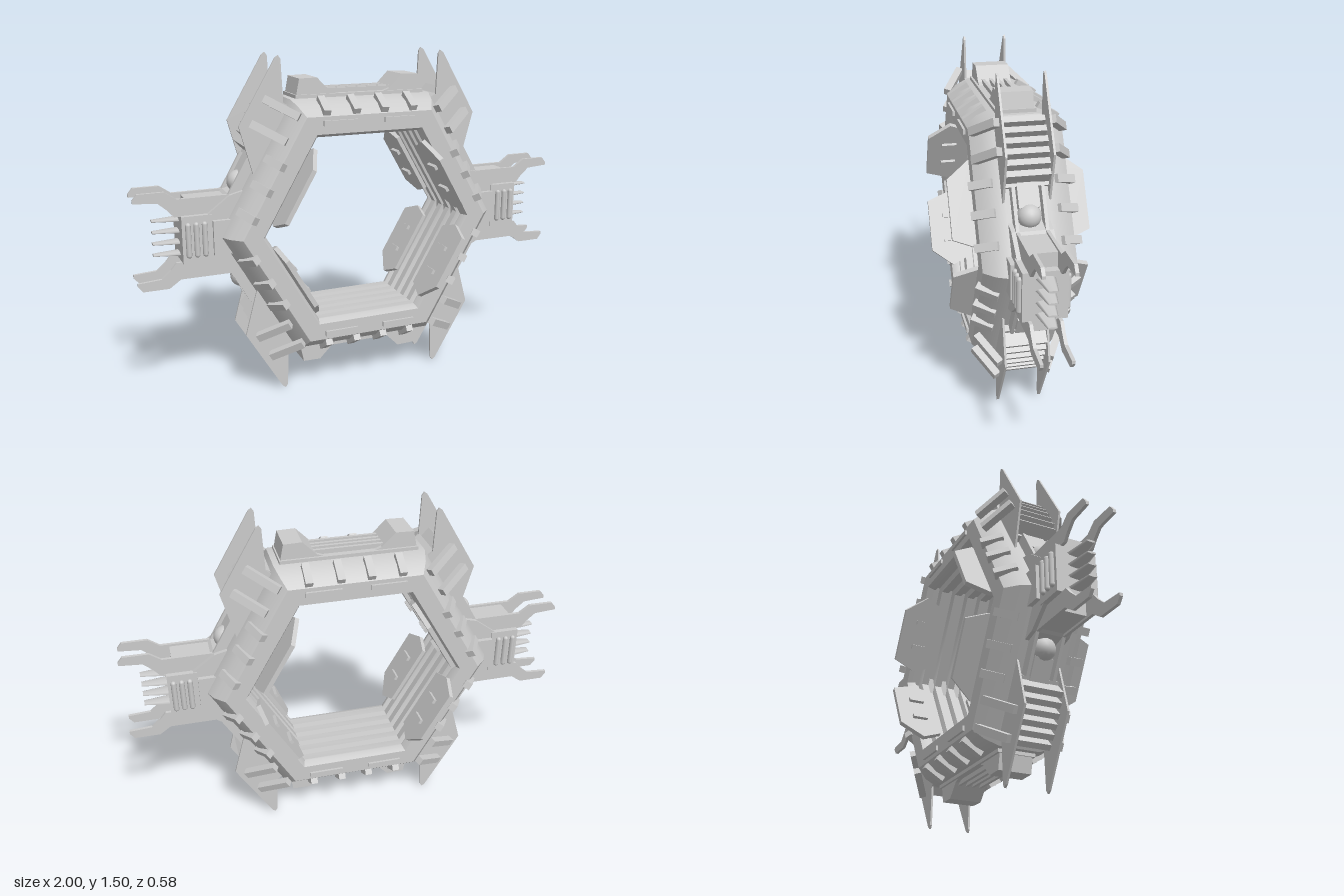
import * as THREE from 'three';
import { toCreasedNormals } from 'three/addons/utils/BufferGeometryUtils.js';

const mat = new THREE.MeshStandardMaterial({ color: 0xcccccc, side: THREE.DoubleSide });
const APOTHEM = Math.cos(Math.PI / 6);
const SLOPE = Math.atan2(-0.105, 0.065); // tilt of the ring's chamfer

function add(parent, name, geo, x = 0, y = 0, z = 0) {
  const m = new THREE.Mesh(geo, mat);
  m.name = name;
  m.position.set(x, y, z);
  parent.add(m);
  return m;
}
const box = (p, name, w, h, d, x, y, z) => add(p, name, new THREE.BoxGeometry(w, h, d), x, y, z);

// Flat outline in xy, extruded evenly about z
function plate(parent, name, pts, depth, z = 0) {
  const shape = new THREE.Shape(pts.map(([x, y]) => new THREE.Vector2(x, y)));
  const geo = new THREE.ExtrudeGeometry(shape, { depth, bevelEnabled: false });
  geo.translate(0, 0, -depth / 2);
  return add(parent, name, geo, 0, 0, z);
}

// Six-sided ring with chamfered rim and ribbed inside
function buildRing(parent) {
  const prof = [[0.425, -0.195], [0.5, -0.195], [0.54, -0.15], [0.565, -0.09],
    [0.565, 0.09], [0.54, 0.15], [0.5, 0.195], [0.425, 0.195], [0.41, 0.165]];
  for (let i = 0; i < 5; i++) {
    const z = 0.14 - i * 0.07;
    prof.push([0.41, z + 0.018], [0.435, z + 0.01], [0.435, z - 0.01], [0.41, z - 0.018]);
  }
  prof.push([0.41, -0.165], prof[0]);
  const pts = prof.map(([r, z]) => new THREE.Vector2(r / APOTHEM, z));
  const geo = new THREE.LatheGeometry(pts, 6, Math.PI / 2).rotateX(Math.PI / 2);
  add(parent, 'ring', toCreasedNormals(geo.toNonIndexed(), 0.6));
}

// Small clips lying on both chamfers; s runs along the side
function clip(parent, name, s, n, z, w, len, thick, tilt) {
  for (const k of [1, -1]) box(parent, name, w, len, thick, s, n, z * k).rotation.x = tilt * k;
}

// Top (or bottom) side: raised blocks, conduits, clips and slots
function buildFlatSide(parent) {
  const g = new THREE.Group();
  g.name = 'flatSide';
  parent.add(g);
  for (const k of [1, -1]) {
    plate(g, 'raisedBlock', [[0.08, 0.55], [0.1, 0.575], [0.14, 0.59], [0.2, 0.65],
      [0.28, 0.648], [0.3, 0.55]].map(([x, y]) => [x * k, y]), 0.15);
    for (const s of [0.065, 0.2]) clip(g, 'clip', s * k, 0.54, 0.155, 0.032, 0.1, 0.03, SLOPE);
    for (const z of [1, -1]) box(g, 'slotBar', 0.155, 0.022, 0.02, 0.14 * k, 0.472, 0.195 * z);
    for (const z of [0.015, 0.05]) box(g, 'conduit', 0.46, 0.02, 0.014, 0, 0.59, z * k);
  }
  box(g, 'channelFloor', 0.6, 0.03, 0.17, 0, 0.565, 0);
}

// One diagonal side with its fins, slats, clips and wing plates
function buildDiagonal(parent) {
  // Thin swept fins
  for (const z of [0.095, -0.095]) {
    plate(parent, 'fin', [[0.3, 0.5], [0.36, 0.555], [0.368, 0.735], [0.378, 0.75], [0.392, 0.74],
      [0.555, 0.465], [0.497, 0.25], [0.43, 0.22]], 0.009, z);
  }
  const g = new THREE.Group(); // x along the side, y outward
  g.name = 'diagonalSide';
  g.rotation.z = -Math.PI / 3;
  parent.add(g);
  // Stepped slats between the fins
  for (let i = 0; i < 6; i++) {
    box(g, 'slat', 0.026, 0.1, 0.18, -0.06 - i * 0.043, 0.6 + 0.012 * Math.sin(i * Math.PI / 5), 0).rotation.z = 0.3;
  }
  box(g, 'slatBase', 0.27, 0.05, 0.18, -0.165, 0.57, 0);
  // Hatch, dome and rails near the arm
  box(g, 'hatch', 0.11, 0.05, 0.085, 0, 0.575, 0);
  add(g, 'dome', new THREE.SphereGeometry(0.05, 16, 10), 0.085, 0.575, 0);
  for (const z of [0.06, -0.06]) box(g, 'rail', 0.2, 0.05, 0.014, 0.07, 0.585, z);
  // Clips on the chamfers
  for (const s of [-0.06, 0.06, 0.19]) clip(g, 'clip', s, 0.525, 0.17, 0.034, 0.1, 0.035, SLOPE);
  for (const s of [-0.275, -0.16]) clip(g, 'longClip', s, 0.602, 0.15, 0.034, 0.165, 0.032, -0.5);
  // Wing plates reaching out from the inside of the ring
  for (const k of [1, -1]) {
    const w = plate(g, 'wingPlate', [[-0.15, 0.1], [-0.19, 0.19], [-0.11, 0.29], [0.14, 0.29],
      [0.18, 0.19], [0.15, 0.1]].map(([x, z]) => [x, z * k]), 0.02);
    w.rotation.x = Math.PI / 2;
    w.position.y = 0.402;
    for (const s of [-0.06, 0.06]) box(g, 'wingPin', 0.02, 0.02, 0.07, s, 0.388, 0.19 * k);
  }
}

// Side arm pointing to +x, with prongs and spikes
function buildArm(parent) {
  plate(parent, 'armFairing', [[0.5, -0.2], [0.6, -0.175], [0.7, -0.1], [0.7, 0.1],
    [0.6, 0.175], [0.5, 0.2]], 0.17);
  box(parent, 'armBlock', 0.13, 0.205, 0.18, 0.745, 0, 0);
  box(parent, 'armCore', 0.2, 0.15, 0.21, 0.58, 0, 0);
  for (const z of [1, -1]) {
    for (let i = 0; i < 3; i++) {
      add(parent, 'ventBar', new THREE.CapsuleGeometry(0.012, 0.13, 4, 8), 0.715 + i * 0.035, 0, 0.095 * z);
    }
    for (const y of [1, -1]) {
      plate(parent, 'prong', [[0.54, 0.1], [0.835, 0.1], [0.86, 0.13], [0.9, 0.165], [1, 0.172],
        [1, 0.185], [0.98, 0.21], [0.87, 0.21], [0.82, 0.175], [0.54, 0.175]].map(([x, v]) => [x, v * y]),
      0.014, 0.06 * z);
    }
  }
  for (const y of [1, -1]) box(parent, 'prongSpacer', 0.2, 0.06, 0.11, 0.68, 0.135 * y, 0);
  // Flattened spikes between the prongs
  for (const y of [-0.075, -0.025, 0.025, 0.075]) {
    const geo = new THREE.CylinderGeometry(0.02, 0.042, 0.13, 8).rotateZ(-Math.PI / 2).scale(1, 0.24, 1);
    add(parent, 'spike', geo, 0.855, y, 0);
  }
}

export function createModel() {
  const model = new THREE.Group();
  model.name = 'ringStation';
  const body = new THREE.Group();
  body.name = 'body';
  body.position.y = 0.755;
  model.add(body);
  buildRing(body);

  const half = (name, rx, ry, rz, build) => {
    const g = new THREE.Group();
    g.name = name;
    g.rotation.set(rx, ry, rz);
    body.add(g);
    build(g);
  };
  half('top', 0, 0, 0, buildFlatSide);
  half('bottom', Math.PI, 0, 0, buildFlatSide);
  half('leftArm', 0, 0, 0, buildArm);
  half('rightArm', 0, Math.PI, 0, buildArm);
  half('upperLeft', 0, 0, 0, buildDiagonal);
  half('upperRight', 0, Math.PI, 0, buildDiagonal);
  half('lowerLeft', Math.PI, 0, 0, buildDiagonal);
  half('lowerRight', 0, 0, Math.PI, buildDiagonal);
  return model;
}
